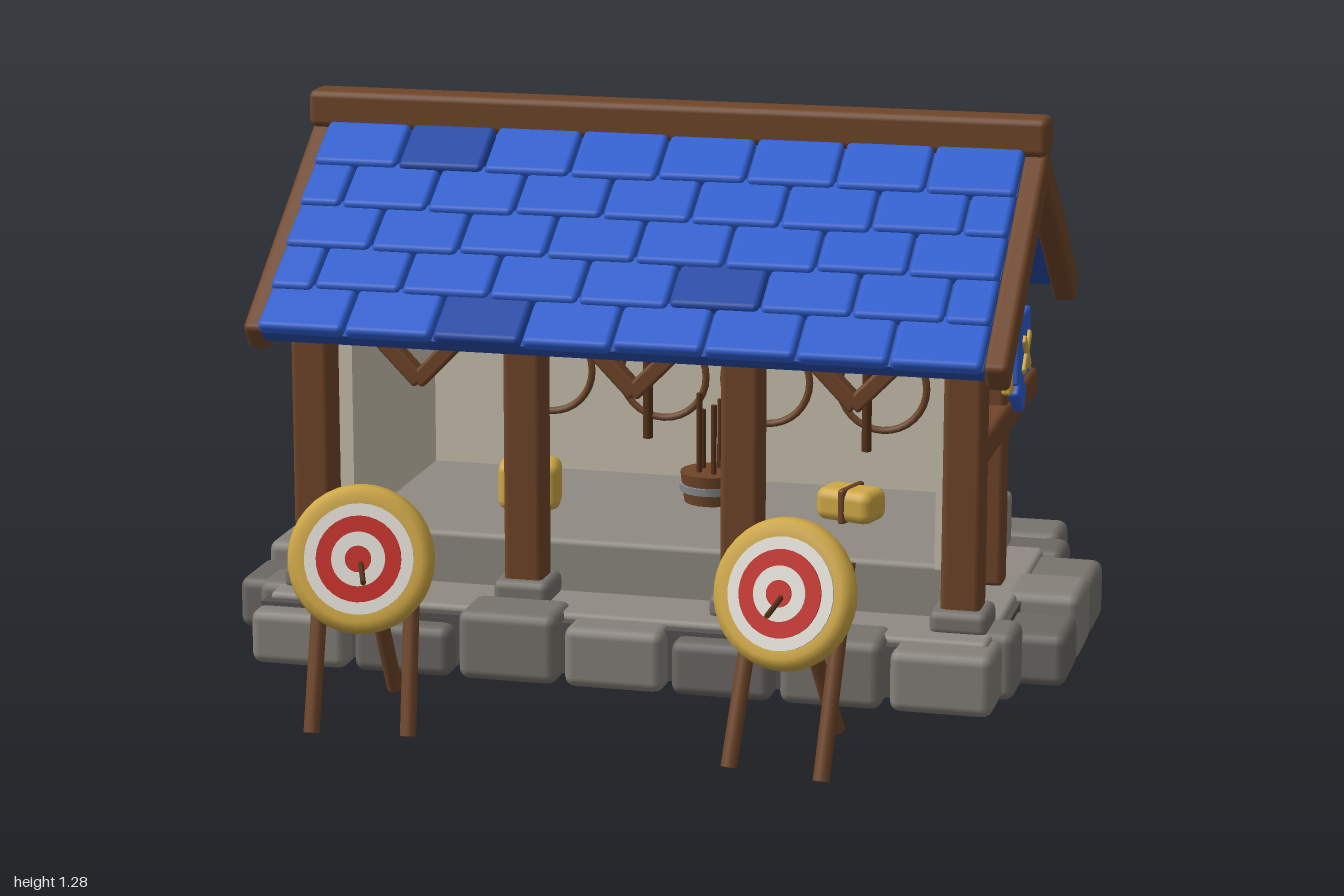
import * as THREE from 'three';
import { RoundedBoxGeometry } from 'three/addons/geometries/RoundedBoxGeometry.js';

const mat = (color) => new THREE.MeshStandardMaterial({ color });
const WOOD = mat(0x6f4528), DARKWOOD = mat(0x553219), PLASTER = mat(0xc9c2b0);
const STONES = [mat(0x85817a), mat(0x77736d), mat(0x6b6863)];
const SLAB = mat(0x55524f), PLINTH = mat(0x8f8b83), METAL = mat(0x8a8c92);
const BLUE = mat(0x2f5fd0), DARKBLUE = mat(0x2449a6);
const GOLD = mat(0xcfa845), WHITE = mat(0xe2dfd6), RED = mat(0xc42a22);

function add(parent, name, geo, material, x = 0, y = 0, z = 0) {
  const m = new THREE.Mesh(geo, material);
  m.name = name;
  m.position.set(x, y, z);
  parent.add(m);
  return m;
}

// rounded block: size then centre
function block(parent, name, material, [w, h, d], [x, y, z], r = 0.015) {
  return add(parent, name, new RoundedBoxGeometry(w, h, d, 2, Math.min(r, w * 0.45, h * 0.45, d * 0.45)), material, x, y, z);
}

// round rod between two points
function rod(parent, name, material, a, b, r) {
  const p = new THREE.Vector3(...a), q = new THREE.Vector3(...b);
  const dir = q.clone().sub(p);
  const m = add(parent, name, new THREE.CylinderGeometry(r, r, dir.length(), 10), material);
  m.position.copy(p).add(q).multiplyScalar(0.5);
  m.quaternion.setFromUnitVectors(new THREE.Vector3(0, 1, 0), dir.normalize());
  return m;
}

const CZ = -0.3; // building centre line

function foundation(g) {
  add(g, 'foundationSlab', new THREE.BoxGeometry(1.72, 0.12, 1.06), SLAB, 0, 0.09, CZ);
  block(g, 'foundationTop', PLINTH, [1.7, 0.03, 1.0], [0, 0.15, CZ]);
  block(g, 'floorPlinth', PLINTH, [1.52, 0.14, 0.71], [0, 0.22, -0.335]);
  const tops = [0.13, 0.12, 0.165, 0.145, 0.13, 0.16, 0.145];
  for (const s of [1, -1]) {
    for (let i = 0; i < 7; i++) {
      const h = tops[(i + (s < 0 ? 3 : 0)) % 7];
      block(g, 'edgeStone', STONES[(i * 2 + (s < 0 ? 1 : 0)) % 3], [0.235, h, 0.16],
        [(i - 3) * 0.252, 0.01 + h / 2, CZ + s * 0.5], 0.025);
    }
    for (let i = 0; i < 5; i++) {
      const outer = i > 0 && i < 4;
      const h = [0.16, 0.125, 0.16, 0.145, 0.155][i];
      block(g, 'sideStone', STONES[(i + 1) % 3], [0.18, h, outer ? 0.195 : 0.14],
        [s * (outer ? 0.908 : 0.81), 0.01 + h / 2, CZ + [0.37, 0.21, 0, -0.21, -0.37][i]], 0.025);
    }
  }
}

function walls(g) {
  add(g, 'backWall', new THREE.BoxGeometry(1.48, 0.6, 0.05), PLASTER, 0, 0.58, -0.645);
  const tri = new THREE.Shape([[-0.37, 0], [0.37, 0], [0, 0.275]].map((p) => new THREE.Vector2(...p)));
  const gableGeo = new THREE.ExtrudeGeometry(tri, { depth: 0.05, bevelEnabled: false })
    .translate(0, 0, -0.025).rotateY(Math.PI / 2);
  for (const s of [1, -1]) {
    add(g, 'sideWall', new THREE.BoxGeometry(0.05, 0.6, 0.7), PLASTER, s * 0.72, 0.58, -0.32);
    add(g, 'gable', gableGeo, PLASTER, s * 0.72, 0.87, CZ);
    block(g, 'sidePost', WOOD, [0.07, 0.71, 0.07], [s * 0.77, 0.515, CZ]);
    block(g, 'gablePost', WOOD, [0.07, 0.25, 0.06], [s * 0.77, 1.045, CZ]);
    block(g, 'sideRail', WOOD, [0.08, 0.07, 0.79], [s * 0.775, 0.567, CZ]);
    shield(g, s);
  }
}

// square gold plate, blue field, crossed bars and a pointed tail
function shield(g, s) {
  const sh = new THREE.Group();
  sh.name = 'shield';
  sh.position.set(s * 0.815, 0.73, CZ);
  sh.rotation.y = s * Math.PI / 2;
  g.add(sh);
  block(sh, 'shieldPlate', GOLD, [0.195, 0.18, 0.025], [0, 0, 0], 0.008);
  block(sh, 'shieldField', BLUE, [0.165, 0.16, 0.03], [0, 0.01, 0.012], 0.008);
  block(sh, 'shieldTail', BLUE, [0.105, 0.065, 0.028], [0, -0.1, 0.01], 0.008).rotation.z = -0.6;
  for (const t of [1, -1])
    block(sh, 'shieldCross', GOLD, [0.115, 0.022, 0.016], [0, -0.005, 0.028], 0.005).rotation.z = t * Math.PI / 4;
}

function frontFrame(g) {
  const z = 0.075;
  for (const x of [-0.77, -0.257, 0.257, 0.77]) {
    block(g, 'frontPost', WOOD, [0.092, 0.66, 0.092], [x, 0.52, z]);
    block(g, 'postFoot', STONES[1], [0.135, 0.06, 0.135], [x, 0.184, z], 0.02);
  }
  block(g, 'lintel', WOOD, [1.62, 0.07, 0.08], [0, 0.83, z]);
  for (const x of [-0.515, 0, 0.515])
    for (const t of [1, -1])
      block(g, 'lintelBrace', WOOD, [0.2, 0.04, 0.045], [x + t * 0.065, 0.735, z], 0.008).rotation.z = t * 0.8;
}

function roof(g) {
  const slope = Math.atan(0.74);
  for (const s of [0, 1]) {
    const side = new THREE.Group();
    side.name = s ? 'backRoof' : 'frontRoof';
    side.position.set(0, 1.2, CZ);
    side.rotation.set(slope, s * Math.PI, 0, 'YXZ');
    g.add(side);
    add(side, 'roofDeck', new THREE.BoxGeometry(1.67, 0.03, 0.68), DARKBLUE, 0, -0.005, 0.345);
    for (const t of [1, -1])
      block(side, 'bargeBoard', WOOD, [0.055, 0.08, 0.68], [t * 0.86, -0.03, 0.335]);
    // overlapping rows, alternate rows shifted by half a tile
    for (let row = 0; row < 5; row++) {
      const odd = row % 2 === 1;
      for (let i = 0; i < (odd ? 9 : 8); i++) {
        const half = odd && (i === 0 || i === 8);
        let x = -0.84 + 0.21 * (i + (odd ? 0 : 0.5));
        if (half) x += i === 0 ? 0.0525 : -0.0525;
        const dark = (i * 7 + row * 5 + s * 2) % 13 === 1;
        const len = 0.15 + ((i * 5 + row * 3) % 4) * 0.004;
        const tile = block(side, 'roofTile', dark ? DARKBLUE : BLUE, [half ? 0.1 : 0.204, 0.034, len],
          [x, 0.026, 0.705 - 0.13 * row - 0.08], 0.013);
        tile.rotation.x = -0.1;
      }
    }
  }
  block(g, 'ridgeBeam', WOOD, [1.78, 0.09, 0.095], [0, 1.235, CZ], 0.018);
}

function interior(g) {
  // bows hung on the back wall
  for (const x of [-0.39, -0.1, 0.16, 0.45]) {
    add(g, 'bowHoop', new THREE.TorusGeometry(0.108, 0.009, 6, 32), WOOD, x, 0.55, -0.6);
    rod(g, 'bowGrip', DARKWOOD, [x - 0.037, 0.39, -0.59], [x - 0.037, 0.71, -0.59], 0.012);
  }
  // arrow barrel
  const z = -0.41;
  add(g, 'barrel', new THREE.CylinderGeometry(0.078, 0.068, 0.075, 20), WOOD, 0.07, 0.327, z);
  add(g, 'barrelBand', new THREE.CylinderGeometry(0.081, 0.079, 0.018, 20), METAL, 0.07, 0.327, z);
  for (let i = 0; i < 5; i++) {
    const a = i * Math.PI * 0.4, dx = 0.035 * Math.cos(a), dz = 0.035 * Math.sin(a);
    rod(g, 'storedArrow', DARKWOOD, [0.07 + dx, 0.33, z + dz], [0.07 + dx, 0.51 + (i % 3) * 0.025, z + dz], 0.007);
  }
  // straw bundles tied with cord
  for (const [x, y, bz, yaw] of [[-0.34, 0.35, -0.24, 0.2], [0.43, 0.33, -0.32, -0.3]]) {
    const bundle = new THREE.Group();
    bundle.name = 'strawBundle';
    bundle.position.set(x, y, bz);
    bundle.rotation.y = yaw;
    g.add(bundle);
    block(bundle, 'straw', GOLD, [0.15, y * 2 - 0.58, 0.1], [0, 0, 0], 0.025);
    block(bundle, 'strawCord', WOOD, [0.018, y * 2 - 0.572, 0.108], [0, 0, 0], 0.008);
  }
}

// archery target on three legs with an arrow in it
function target(g, x, z, yaw, arrowTip) {
  const t = new THREE.Group();
  t.name = 'target';
  t.position.set(x, 0, z);
  t.rotation.y = yaw;
  g.add(t);
  for (const s of [1, -1])
    rod(t, 'targetFrontLeg', WOOD, [s * 0.108, 0.01, 0.06], [s * 0.1, 0.455, -0.09], 0.018);
  rod(t, 'targetBackLeg', WOOD, [0.03, 0.035, -0.21], [0, 0.42, -0.03], 0.018);

  const disc = new THREE.Group();
  disc.name = 'targetDisc';
  disc.position.set(0, 0.398, 0.01);
  disc.rotation.x = -0.27;
  t.add(disc);
  const profile = [[0, -0.03], [0.135, -0.03], [0.155, -0.022], [0.165, 0], [0.158, 0.022], [0.14, 0.032], [0.122, 0.026], [0, 0.026]];
  add(disc, 'strawRim', new THREE.LatheGeometry(profile.map((p) => new THREE.Vector2(...p)), 36).rotateX(Math.PI / 2), GOLD);
  [[0.122, WHITE], [0.095, RED], [0.06, WHITE], [0.029, RED]].forEach(([r, m], i) =>
    add(disc, 'targetRing', new THREE.CylinderGeometry(r, r, 0.012, 32).rotateX(Math.PI / 2), m, 0, 0, 0.024 + i * 0.003));
  rod(t, 'arrow', DARKWOOD, [0, 0.4, 0.02], arrowTip, 0.006);
}

export function createModel() {
  const g = new THREE.Group();
  g.name = 'archeryRange';
  foundation(g);
  walls(g);
  frontFrame(g);
  roof(g);
  interior(g);
  target(g, -0.468, 0.66, 0.13, [0.035, 0.39, 0.17]);
  target(g, 0.497, 0.7, -0.2, [0.035, 0.4, 0.185]);
  return g;
}
